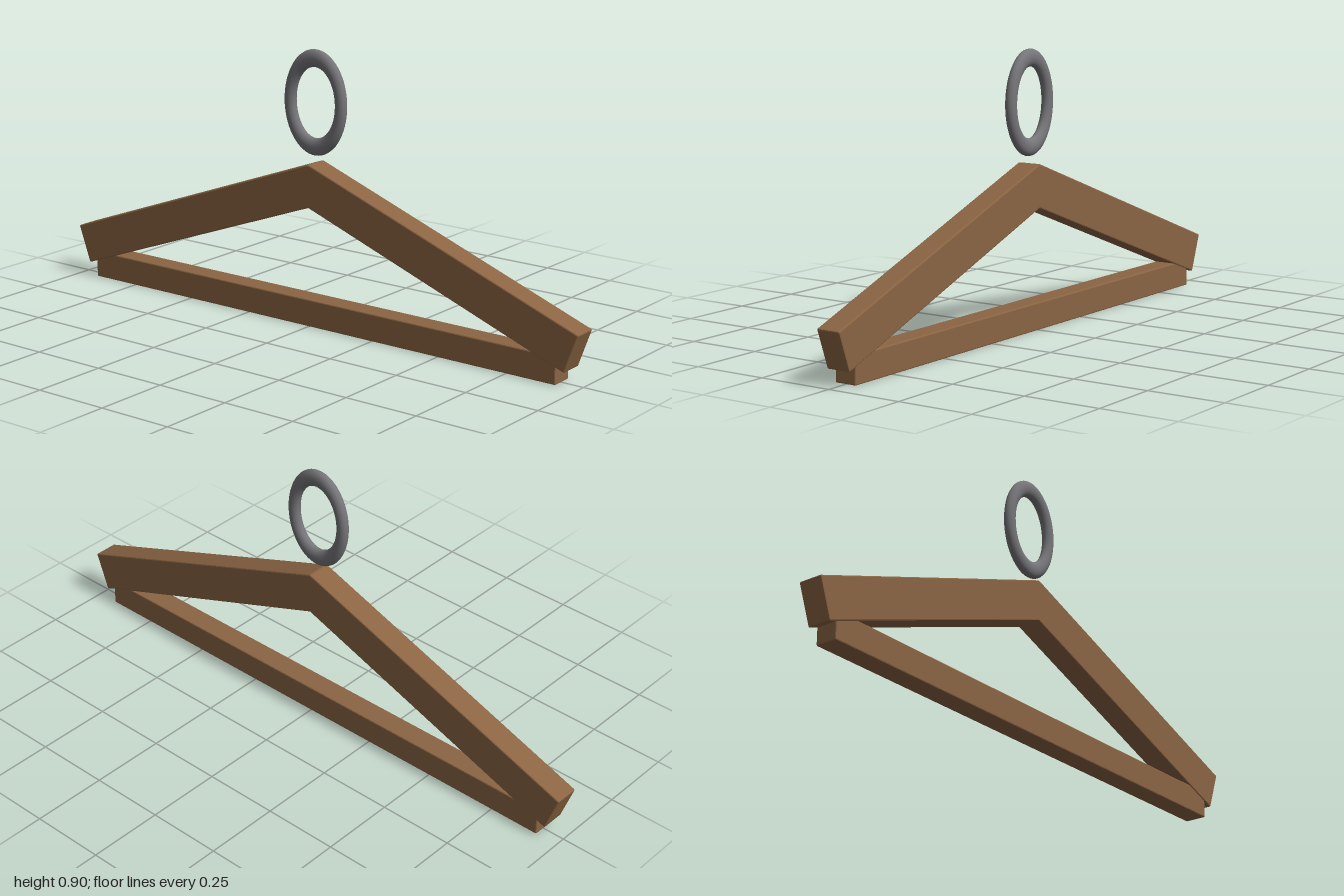
import * as THREE from 'three';
import { RoundedBoxGeometry } from 'three/addons/geometries/RoundedBoxGeometry.js';

export function createModel() {
  const group = new THREE.Group();
  const wood = new THREE.MeshStandardMaterial({ color: 0x8b6543 });
  wood.name = 'wood';
  const steel = new THREE.MeshStandardMaterial({ color: 0x76767a });
  steel.name = 'grey metal';

  // Wooden beam with tiny flat chamfers
  function beam(name, length, height, depth, x, y, tilt = 0) {
    const geometry = new RoundedBoxGeometry(length, height, depth, 1, 0.004);
    geometry.computeVertexNormals();
    const mesh = new THREE.Mesh(geometry, wood);
    mesh.name = name;
    mesh.position.set(x, y, 0);
    mesh.rotation.z = tilt;
    group.add(mesh);
  }

  // Sloping shoulders, meeting at the peak
  const tilt = THREE.MathUtils.degToRad(20);
  for (const side of [1, -1]) {
    beam(side > 0 ? 'leftArm' : 'rightArm', 1.066, 0.133, 0.082, side * 0.4775, 0.29, -side * tilt);
  }

  // Horizontal trouser bar
  beam('crossBar', 1.85, 0.09, 0.075, 0, 0.045);

  // Tall oval hanging ring, floating just above the peak
  const ring = new THREE.Mesh(new THREE.TorusGeometry(0.1, 0.02, 20, 64), steel);
  ring.name = 'hangingRing';
  ring.scale.set(1, 1.42, 0.9);
  ring.position.y = 0.727;
  group.add(ring);

  return group;
}
